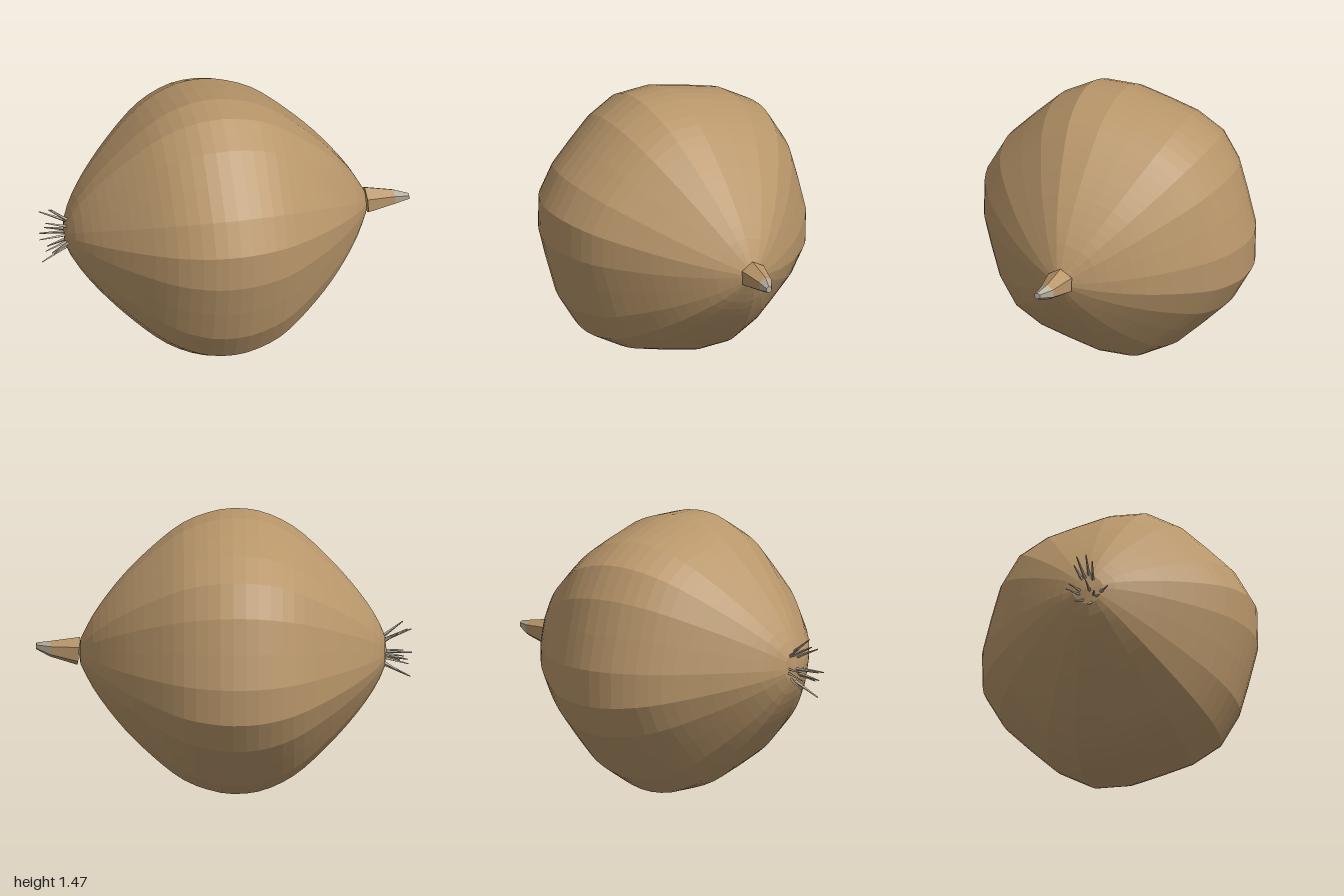
import * as THREE from 'three';

const MID = 0.735;

export function createModel() {
  const group = new THREE.Group();
  const skin = new THREE.MeshStandardMaterial({ name: 'tan skin', color: 0xb8966a, flatShading: true });
  const dry = new THREE.MeshStandardMaterial({ name: 'pale dry fibre', color: 0xb5ab98, flatShading: true });

  const add = (name, geometry, material, parent = group) => {
    const mesh = new THREE.Mesh(geometry, material);
    mesh.name = name;
    parent.add(mesh);
    return mesh;
  };

  // Bulb: lathe lying along x, with six soft lobes that lean to one side
  const curve = new THREE.SplineCurve([
    [0.08, -0.85], [0.185, -0.8], [0.335, -0.69], [0.505, -0.53], [0.64, -0.37],
    [0.715, -0.21], [0.735, -0.07], [0.72, 0.06], [0.66, 0.22], [0.54, 0.38],
    [0.387, 0.54], [0.21, 0.68], [0.067, 0.76],
  ].map(([r, x]) => new THREE.Vector2(r, x)));
  const profile = [new THREE.Vector2(0, -0.86), ...curve.getSpacedPoints(32), new THREE.Vector2(0, 0.77)];
  const bulb = new THREE.LatheGeometry(profile, 24).rotateZ(-Math.PI / 2);
  const p = bulb.attributes.position;
  for (let i = 0; i < p.count; i++) {
    const y = p.getY(i), z = p.getZ(i);
    const k = 1 + 0.03 * Math.sin(6 * Math.atan2(z, y));
    p.setXYZ(i, p.getX(i), y * k, z * k);
  }
  bulb.computeVertexNormals();
  add('bulb', bulb, skin).position.y = MID;

  // Stem: two bent six-sided sections, the tip one dry and pale
  const section = (a, b) => {
    const g = new THREE.CylinderGeometry(1, 1, 1, 6, 1).rotateZ(-Math.PI / 2).rotateX(Math.PI / 2);
    const q = g.attributes.position;
    for (let i = 0; i < q.count; i++) {
      const s = q.getX(i) > 0 ? b : a;
      const tilt = -0.08 * q.getY(i) * s.r;
      q.setXYZ(i, s.x + tilt, s.y + q.getY(i) * s.r, s.z + q.getZ(i) * s.r);
    }
    // Turn the hexagon so that its flat sides face up and down
    g.computeVertexNormals();
    return g;
  };
  const base = { x: 0.77, y: 0.738, z: -0.003, r: 0.077 };
  const bend = { x: 0.92, y: 0.747, z: 0.01, r: 0.043 };
  const tip = { x: 0.995, y: 0.756, z: 0.034, r: 0.018 };
  const stem = new THREE.Group();
  stem.name = 'stem';
  group.add(stem);
  add('stemBase', section(base, bend), skin, stem);
  add('stemTip', section(bend, tip), dry, stem);

  // Roots: thin spikes fanning out from the other end
  const roots = new THREE.Group();
  roots.name = 'roots';
  group.add(roots);
  const up = new THREE.Vector3(0, 1, 0);
  [
    [-0.99, 0.865, -0.03], [-0.945, 0.895, 0.01], [-0.92, 0.85, -0.06], [-0.97, 0.84, 0.05],
    [-0.995, 0.72, 0.02], [-0.95, 0.73, -0.08], [-0.975, 0.69, -0.09], [-0.985, 0.585, 0.03],
    [-0.94, 0.63, -0.05], [-0.97, 0.67, 0.06], [-0.95, 0.7, 0.13], [-0.93, 0.66, 0.08],
  ].forEach(([x, y, z]) => {
    const end = new THREE.Vector3(x, y, z);
    const start = new THREE.Vector3(-0.83, MID + (y - MID) * 0.45, z * 0.45);
    const dir = end.clone().sub(start);
    const root = add('root', new THREE.CylinderGeometry(0.003, 0.01, dir.length(), 4), dry, roots);
    root.position.copy(start).add(end).multiplyScalar(0.5);
    root.quaternion.setFromUnitVectors(up, dir.normalize());
  });

  return group;
}
